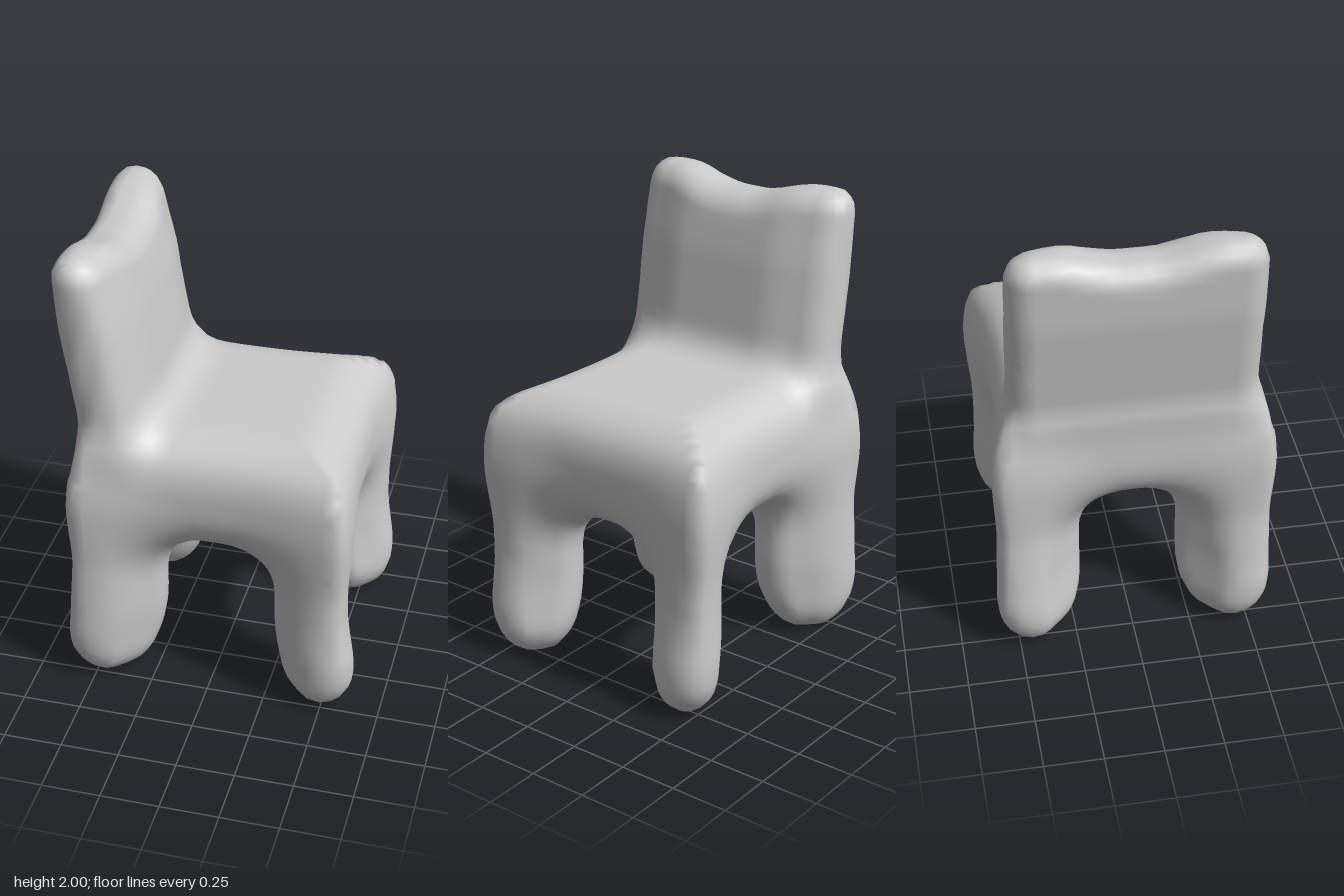
import * as THREE from 'three';

const { hypot, abs, max, min } = Math;
const { lerp, smoothstep: smooth } = THREE.MathUtils;

// Blend two solids with a soft fillet of size k
function blend(a, b, k) {
  const h = max(k - abs(a - b), 0) / k;
  return min(a, b) - h * h * k * 0.25;
}

// Distance to a rounded shape from its per-axis overshoot q, with edge radius r
function rounded(q, r) {
  return hypot(...q.map(v => max(v, 0))) + min(max(...q), 0) - r;
}

// Outline seen from above: a square with pinched sides, widened by growX and growZ
function outline(x, z, growX, growZ) {
  const r = 0.07;
  const halfX = 0.568 + 0.015 * min((z / 0.55) ** 2, 1);
  const halfZ = 0.53 + 0.05 * min((x / 0.55) ** 2, 1);
  return rounded([abs(x - 0.01) - halfX - growX + r, abs(z) - halfZ - growZ + r], r);
}

// Cushion-like seat with soft top and bottom edges
function seat(x, y, z) {
  const r = 0.25;
  return rounded([outline(x, z, 0.01, 0.01) + r, abs(y - 0.967) - 0.27 + r], r);
}

// Leaning backrest: thinner towards the top, front rounded off at the sides, raised top corners
function back(x, y, z) {
  const trim = 0.025 * smooth(abs(z), 0.2, 0.5);
  const centre = lerp(-0.405, -0.507, (y - 1.25) / 0.65) - trim;
  const half = 0.145 - 0.018 * smooth(y, 1.65, 1.95) - trim;
  const top = 1.94 + 0.06 * smooth(abs(z), 0.05, 0.35);
  const r = 0.1;
  const low = 1.1;
  return rounded([
    abs(x - centre) - half + r,
    abs(y - (top + low) / 2) - (top - low) / 2 + r,
    abs(z) - 0.512 + r,
  ], r);
}

// Stubby leg, oval and stretched along the diagonal; all four come from mirroring
function leg(x, y, z) {
  const rear = x < 0;
  const foot = 1 - smooth(y, 0.1, 0.4);
  const dx = abs(x) - (rear ? 0.415 : 0.445) - 0.025 * foot;
  const dz = abs(z) - 0.41;
  const u = (dx + dz) * Math.SQRT1_2;
  const v = (dx - dz) * Math.SQRT1_2;
  const r = 0.132;
  // the foot draws in towards a rounded tip
  const stretch = (rear ? 0.095 : 0.065) * lerp(0.4, 1, smooth(y, 0, 0.28));
  return rounded([abs(u) - stretch, abs(v), max((0.17 - y) * r / 0.17, y - 0.85)], r);
}

// Seat and legs are kept flush on the outside, the feet spread a little
function solid(x, y, z) {
  const spread = 1 - smooth(y, 0.2, x < 0 ? 0.65 : 0.5);
  const limit = outline(x, z, 0.02 + 0.06 * spread, 0.02 + 0.02 * spread);
  const base = -blend(-blend(seat(x, y, z), leg(x, y, z), 0.22), -limit, 0.08);
  return blend(base, back(x, y, z), 0.14);
}

function gradient(p) {
  const e = 0.015;
  return new THREE.Vector3(
    solid(p.x + e, p.y, p.z) - solid(p.x - e, p.y, p.z),
    solid(p.x, p.y + e, p.z) - solid(p.x, p.y - e, p.z),
    solid(p.x, p.y, p.z + e) - solid(p.x, p.y, p.z - e),
  ).divideScalar(2 * e);
}

// Name of the part a point on the skin belongs to
function partAt(p) {
  if (p.y > 1.27) return 'backrest';
  if (p.y > 0.62) return 'seat';
  return (p.x > 0 ? 'left' : 'right') + (p.z > 0 ? 'Front' : 'Rear') + 'Leg';
}

// Wrap the solid in one skin of quads, sorted by part
function buildSkin() {
  const step = 0.05;
  const size = [30, 46, 30];
  const origin = [-0.725, -0.125, -0.725];
  const at = (i, j, k) => (i * size[1] + j) * size[2] + k;
  const field = new Float32Array(size[0] * size[1] * size[2]);
  const each = (start, end, fn) => {
    for (let i = start; i < size[0] - end; i++)
      for (let j = start; j < size[1] - end; j++)
        for (let k = start; k < size[2] - end; k++) fn(i, j, k);
  };
  each(0, 0, (i, j, k) => {
    field[at(i, j, k)] = solid(origin[0] + i * step, origin[1] + j * step, origin[2] + k * step);
  });

  // One vertex in each cell the skin passes through, settled onto the skin
  const points = new Map();
  each(0, 1, (i, j, k) => {
    const sum = new THREE.Vector3();
    let n = 0;
    for (let a = 0; a < 8; a++) {
      const ca = [a & 1, (a >> 1) & 1, a >> 2];
      const fa = field[at(i + ca[0], j + ca[1], k + ca[2])];
      for (let bit = 1; bit < 8; bit *= 2) {
        if (a & bit) continue;
        const b = a | bit;
        const cb = [b & 1, (b >> 1) & 1, b >> 2];
        const fb = field[at(i + cb[0], j + cb[1], k + cb[2])];
        if ((fa < 0) === (fb < 0)) continue;
        sum.add(new THREE.Vector3(...ca).lerp(new THREE.Vector3(...cb), fa / (fa - fb)));
        n++;
      }
    }
    if (!n) return;
    const p = sum.divideScalar(n).add(new THREE.Vector3(i, j, k)).multiplyScalar(step)
      .add(new THREE.Vector3(...origin));
    for (let s = 0; s < 2; s++) {
      const g = gradient(p);
      const move = -solid(p.x, p.y, p.z) / max(g.lengthSq(), 0.3);
      p.addScaledVector(g, THREE.MathUtils.clamp(move, -step / 2, step / 2));
    }
    points.set(at(i, j, k), { p, normal: gradient(p).normalize() });
  });

  // A quad around every grid edge that crosses the skin
  const parts = {};
  const stride = [size[1] * size[2], size[2], 1];
  each(1, 1, (i, j, k) => {
    const c = at(i, j, k);
    for (let a = 0; a < 3; a++) {
      const inside = field[c] < 0;
      if (inside === field[c + stride[a]] < 0) continue;
      const b = stride[(a + 1) % 3];
      const d = stride[(a + 2) % 3];
      const quad = [c - b - d, c - d, c, c - b].map(id => points.get(id));
      if (!inside) quad.reverse();
      const mid = quad.reduce((m, q) => m.addScaledVector(q.p, 0.25), new THREE.Vector3());
      const part = (parts[partAt(mid)] ??= { position: [], normal: [] });
      for (const n of [0, 1, 2, 0, 2, 3]) {
        part.position.push(...quad[n].p.toArray());
        part.normal.push(...quad[n].normal.toArray());
      }
    }
  });
  return parts;
}

export function createModel() {
  const group = new THREE.Group();
  group.name = 'chair';
  const material = new THREE.MeshStandardMaterial({ color: 0xcccccc });
  for (const [name, data] of Object.entries(buildSkin())) {
    const geometry = new THREE.BufferGeometry();
    geometry.setAttribute('position', new THREE.Float32BufferAttribute(data.position, 3));
    geometry.setAttribute('normal', new THREE.Float32BufferAttribute(data.normal, 3));
    const mesh = new THREE.Mesh(geometry, material);
    mesh.name = name;
    group.add(mesh);
  }
  return group;
}
